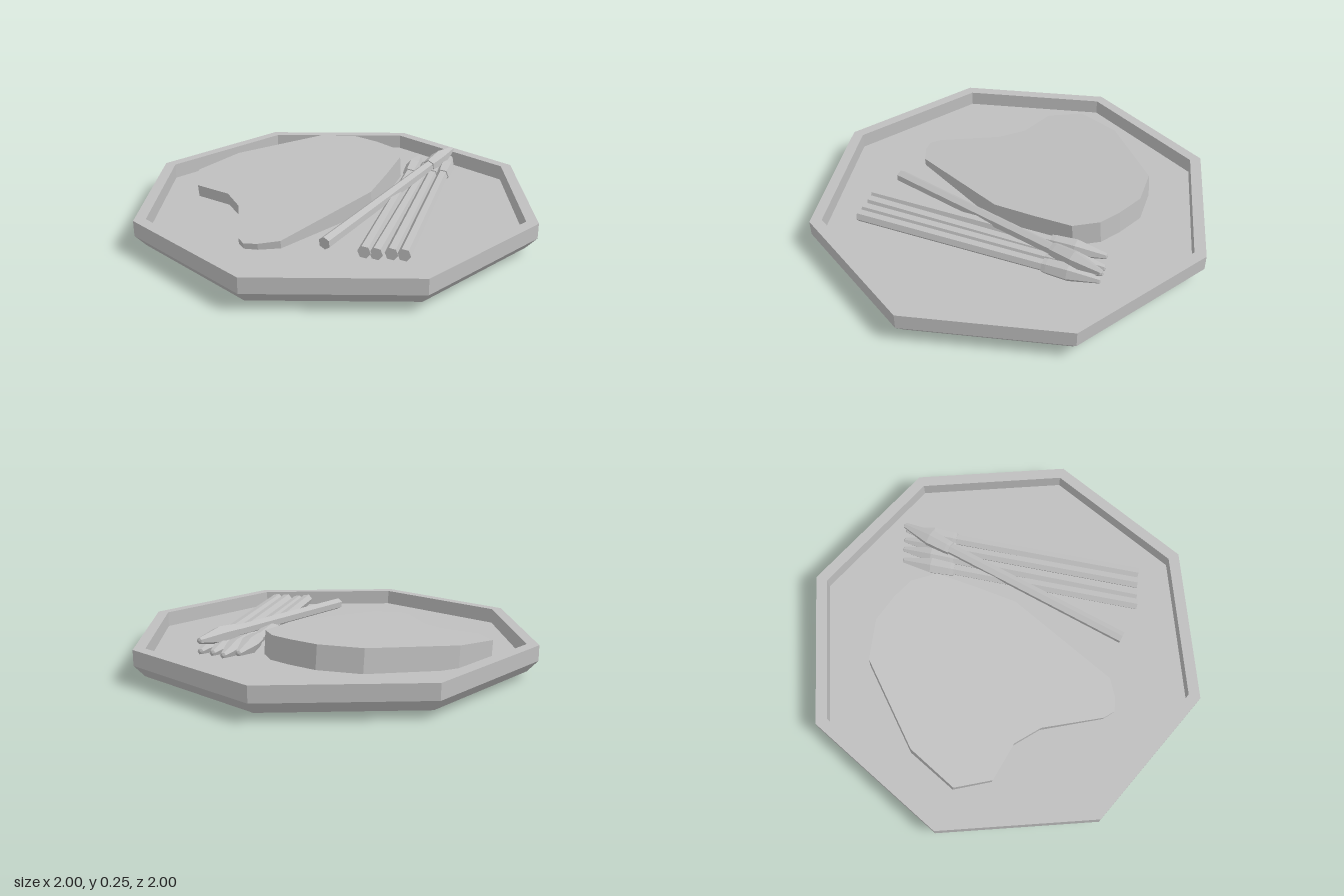
import * as THREE from 'three';

const UP = new THREE.Vector3(0, 1, 0);
const grey = new THREE.MeshStandardMaterial({ color: 0xbfbfbf, flatShading: true });
grey.name = 'plain grey';

const profile = (points) => points.map(([r, y]) => new THREE.Vector2(r, y));

function part(name, geometry) {
  const mesh = new THREE.Mesh(geometry, grey);
  mesh.name = name;
  return mesh;
}

// Eight-sided plate with a bevelled foot and a sunken floor
function makePlate() {
  const plate = part('plate', new THREE.LatheGeometry(profile([
    [0, 0.03], [0.95, 0.03], [1, 0.085], [1, 0.16], [0.942, 0.16], [0.942, 0.085], [0, 0.085],
  ]), 8));
  plate.rotation.y = -0.01;
  return plate;
}

// Thick slab of meat, outlined in x and z, lying at a slight tilt
function makeSteak() {
  const outline = [
    [-0.31, -0.65], [0.17, -0.645], [0.34, -0.53], [0.41, -0.4], [0.45, -0.29], [0.43, -0.16],
    [0.29, -0.02], [0.13, 0.13], [-0.42, 0.37], [-0.52, 0.345], [-0.575, 0.31], [-0.58, 0.25],
    [-0.49, -0.05], [-0.5, -0.2], [-0.61, -0.37], [-0.56, -0.55],
  ];
  const shape = new THREE.Shape(outline.map(([x, z]) => new THREE.Vector2(x, -z)));
  const geometry = new THREE.ExtrudeGeometry(shape, { depth: 0.112, bevelEnabled: false });
  geometry.rotateX(-Math.PI / 2);
  const steak = part('steak', geometry);
  steak.quaternion.setFromUnitVectors(UP, new THREE.Vector3(-0.09, 1, 0.055).normalize());
  steak.position.set(0.007, 0.069, -0.004);
  return steak;
}

// Six-sided stalk with a flared, pointed head, running from tail to tip
function makeSpear(name, tail, tip) {
  const from = new THREE.Vector3(...tail);
  const along = new THREE.Vector3(...tip).sub(from);
  const length = along.length();
  const headStart = length - 0.27;
  const spear = new THREE.Group();
  spear.name = name;
  const stalk = part('stalk', new THREE.CylinderGeometry(0.028, 0.03, headStart + 0.02, 6));
  stalk.position.y = (headStart + 0.02) / 2;
  const head = part('spearHead', new THREE.LatheGeometry(profile([
    [0, 0], [0.034, 0], [0.037, 0.02], [0.043, 0.12], [0.014, 0.265], [0, 0.27],
  ]), 6));
  head.position.y = headStart;
  spear.add(stalk, head);
  spear.position.copy(from);
  spear.quaternion.setFromUnitVectors(UP, along.normalize());
  return spear;
}

export function createModel() {
  const model = new THREE.Group();
  model.name = 'plateOfFood';
  model.add(makePlate(), makeSteak());

  // Four spears side by side, and one laid across them
  const row = [
    [[-0.15, 0.155, 0.675], [0.6, 0.165, -0.27]],
    [[-0.105, 0.15, 0.7], [0.66, 0.155, -0.24]],
    [[-0.05, 0.155, 0.735], [0.7, 0.165, -0.215]],
    [[-0.005, 0.155, 0.765], [0.745, 0.17, -0.185]],
  ];
  row.forEach(([tail, tip], i) => model.add(makeSpear(`asparagus${i + 1}`, tail, tip)));
  model.add(makeSpear('asparagusAcross', [-0.27, 0.15, 0.52], [0.75, 0.22, -0.185]));
  return model;
}
